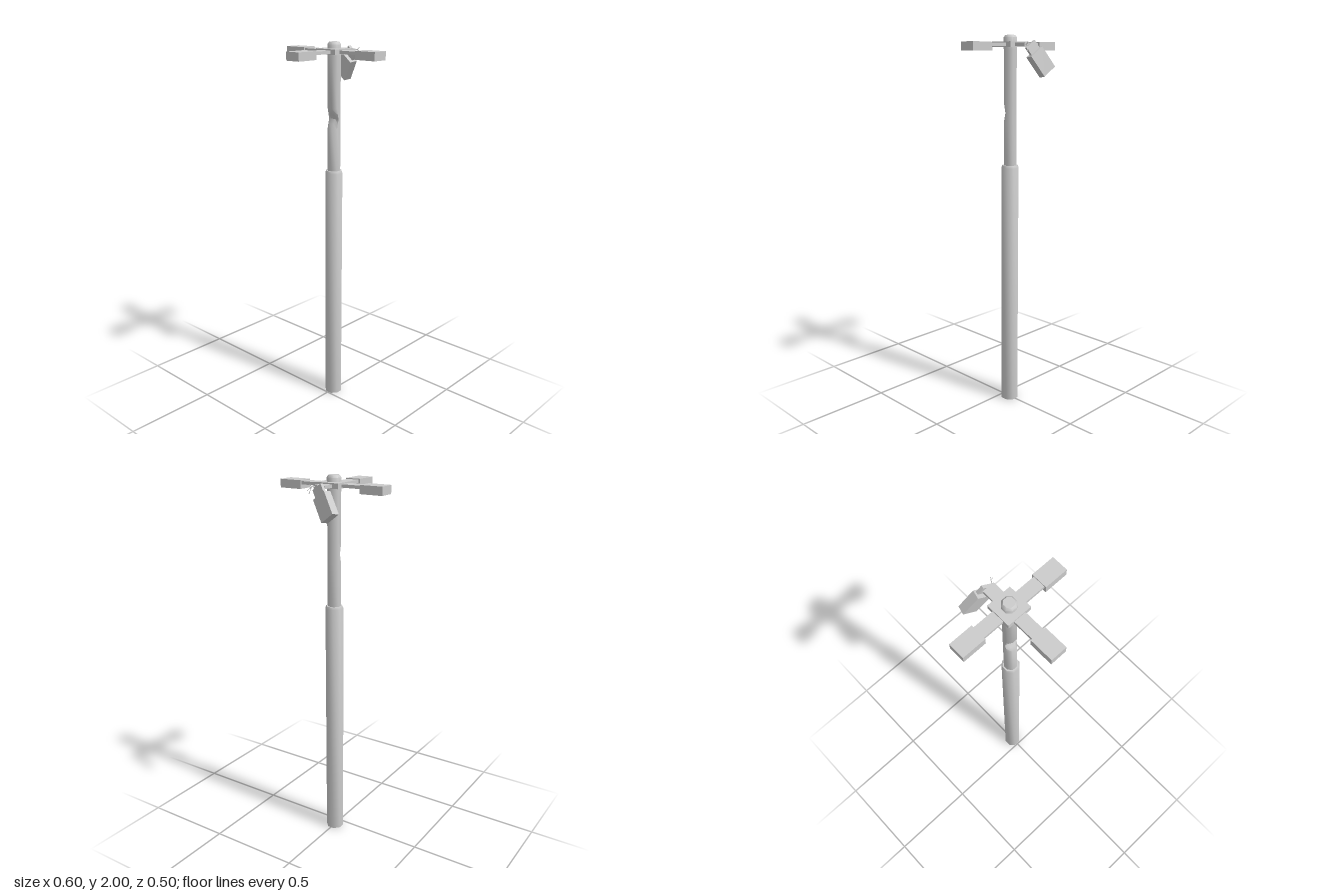
import * as THREE from 'three';
import { toCreasedNormals } from 'three/addons/utils/BufferGeometryUtils.js';

const AXIS_Z = -0.05; // the pole stands slightly behind the origin

export function createModel() {
  const model = new THREE.Group();
  const material = new THREE.MeshStandardMaterial({ color: 0xcccccc, side: THREE.DoubleSide });

  const add = (name, geometry, parent = model) => {
    const mesh = new THREE.Mesh(geometry, material);
    mesh.name = name;
    parent.add(mesh);
    return mesh;
  };
  const box = (name, size, pos, parent) => {
    const mesh = add(name, new THREE.BoxGeometry(...size), parent);
    mesh.position.set(...pos);
    return mesh;
  };
  // Eight-sided turned part with its flats facing the axes; radii are to the flats
  const turned = (profile) => new THREE.LatheGeometry(
    profile.map(([r, y]) => new THREE.Vector2(r / Math.cos(Math.PI / 8), y)), 8, Math.PI / 8);

  // Thick lower pole with a small bevel at its top
  const lower = turned([[0, 0], [0.0445, 0], [0.0445, 1.322], [0.04, 1.335], [0.03, 1.335]]);
  add('lowerPole', toCreasedNormals(lower, 0.9)).position.z = AXIS_Z;

  // Thin upper pole with a bevelled tip and a dent in its front
  const upper = turned([[0.033, 1.32], [0.033, 1.56], [0.033, 1.585], [0.033, 1.61], [0.033, 1.635],
    [0.033, 1.665], [0.033, 1.93], [0.034, 1.93], [0.034, 1.988], [0.025, 2], [0, 2]]);
  const p = upper.attributes.position;
  for (let i = 0; i < p.count; i++) {
    const dent = Math.max(0, 1 - Math.abs(p.getY(i) - 1.61) / 0.052);
    if (p.getZ(i) > 0) p.setZ(i, p.getZ(i) * (1 - 0.86 * dent));
  }
  add('upperPole', toCreasedNormals(upper, 0.9)).position.z = AXIS_Z;

  // Square hub plate
  box('hubPlate', [0.13, 0.027, 0.13], [0, 1.954, AXIS_Z]);

  // Three whole arms, each with a lamp head
  [['right', -Math.PI / 2], ['front', 0], ['left', Math.PI / 2]].forEach(([side, turn]) => {
    const arm = new THREE.Group();
    arm.name = side + 'LampArm';
    arm.position.z = AXIS_Z;
    arm.rotation.y = turn;
    box('arm', [0.065, 0.016, 0.13], [0, 1.953, 0.12], arm);
    box('lampHead', [0.085, 0.043, 0.124], [0, 1.9445, 0.236], arm);
    model.add(arm);
  });

  // Snapped rear arm
  box('brokenArm', [0.063, 0.016, 0.085], [0, 1.953, -0.1375]);

  // Hanging lamp head: local z runs up towards the break, x across, y through its thickness
  const hanging = new THREE.Group();
  hanging.name = 'hangingLamp';
  const along = new THREE.Vector3(0.068, 0.1, 0.03).normalize();
  const across = new THREE.Vector3(0.07, -0.047, 0.009);
  across.addScaledVector(along, -across.dot(along)).normalize();
  const through = new THREE.Vector3().crossVectors(along, across);
  hanging.quaternion.setFromRotationMatrix(new THREE.Matrix4().makeBasis(across, through, along));
  hanging.position.set(-0.0575, 1.867, -0.208);
  box('lampHead', [0.085, 0.043, 0.124], [0, 0, 0], hanging);
  box('armStub', [0.063, 0.016, 0.05], [0, 0.006, 0.083], hanging);
  model.add(hanging);

  // Loose wires at the break
  [[0.05, 1.935, -0.21], [0.042, 1.92, -0.206], [0.036, 1.965, -0.205]].forEach(([x, y, z]) => {
    const path = new THREE.CatmullRomCurve3([
      new THREE.Vector3(0.022, 1.953, -0.176),
      new THREE.Vector3(0.03, 1.955, -0.194),
      new THREE.Vector3(x, y, z),
    ]);
    add('wire', new THREE.TubeGeometry(path, 6, 0.0015, 4));
  });

  return model;
}
